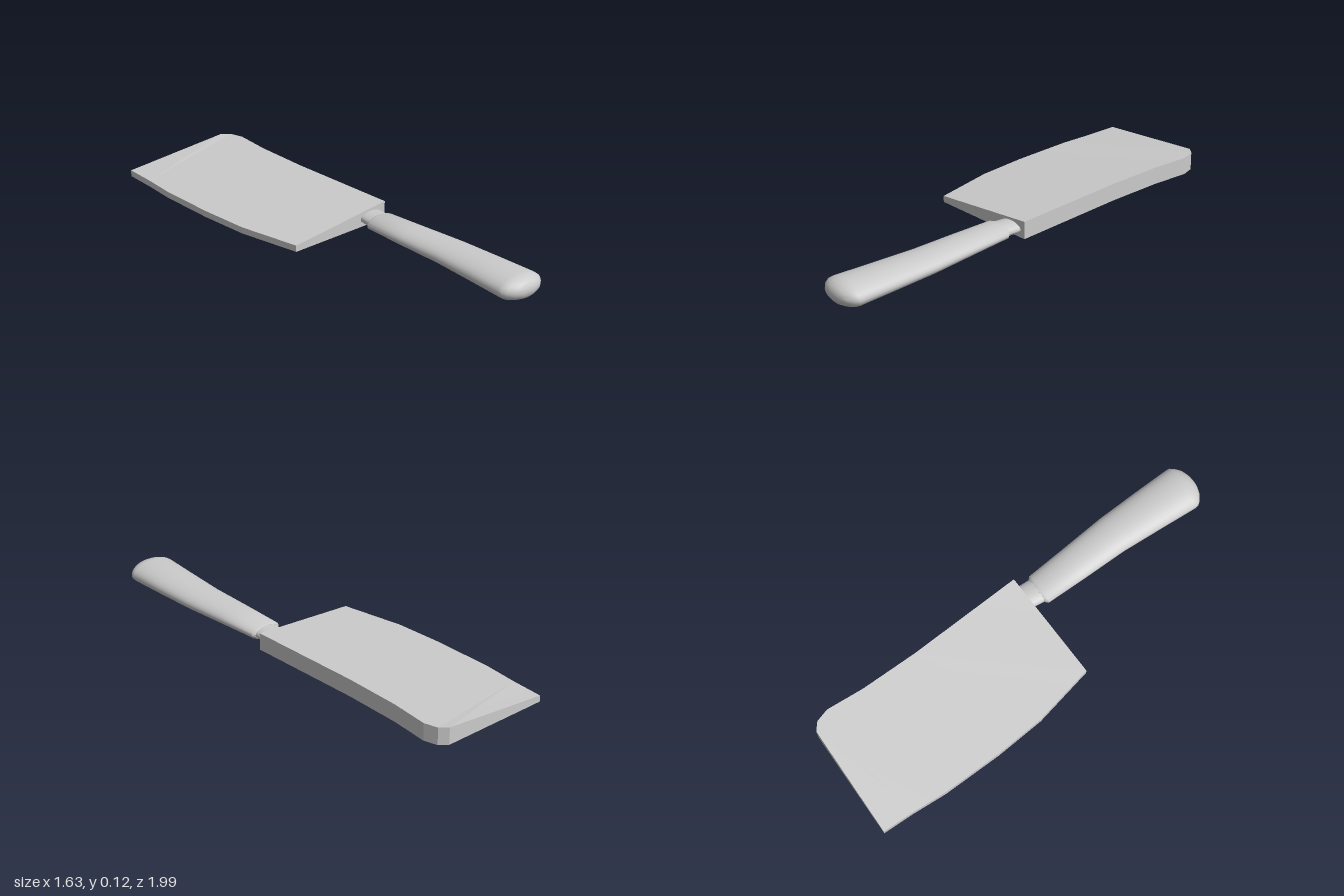
import * as THREE from 'three';
import { toCreasedNormals } from 'three/addons/utils/BufferGeometryUtils.js';

// Skin a list of rings (counter-clockwise about the travel direction), with end caps
function loft(rings, crease) {
  const n = rings[0].length, last = (rings.length - 1) * n;
  const index = [];
  for (let r = 0; r < rings.length - 1; r++) {
    for (let i = 0; i < n; i++) {
      const a = r * n + i, b = r * n + (i + 1) % n;
      index.push(a, b, b + n, a, b + n, a + n);
    }
  }
  for (let i = 1; i < n - 1; i++) {
    index.push(0, i + 1, i);
    index.push(last, last + i, last + i + 1);
  }
  const geo = new THREE.BufferGeometry();
  geo.setAttribute('position', new THREE.Float32BufferAttribute(rings.flat(2), 3));
  geo.setIndex(index);
  return toCreasedNormals(geo, crease);
}

// Oval ring across the handle axis: centre x, z, half width, half height
function oval([x, z, w, h]) {
  const ring = [], sides = 28, y = 0.063;
  for (let i = 0; i < sides; i++) {
    const a = (i / sides) * Math.PI * 2, s = w * Math.cos(a);
    ring.push([x + s * 0.89, y + h * Math.sin(a), z - s * 0.46]);
  }
  return ring;
}

export function createModel() {
  const group = new THREE.Group();
  const material = new THREE.MeshStandardMaterial({ color: 0xcccccc });
  const add = (name, geo) => {
    const mesh = new THREE.Mesh(geo, material);
    mesh.name = name;
    group.add(mesh);
  };

  // Blade: flat underside, thick spine, top sloping down to a thin cutting edge
  // Stations from heel to tip: spine x, z, edge x, z
  const stations = [
    [0.32, 0.02, -0.17, 0.30],
    [0.01, -0.50, -0.38, 0.05],
    [-0.13, -0.76, -0.52, -0.17],
    [-0.21, -0.94, -0.67, -0.44],
    [-0.26, -0.99, -0.74, -0.595],
    [-0.31, -1.0, -0.815, -0.745],
  ];
  add('blade', loft(stations.map(([sx, sz, ex, ez]) => [
    [ex, 0.025, ez], [ex, 0.057, ez], [sx, 0.114, sz], [sx, 0.025, sz],
  ]), 0.05));

  // Tang: short neck joining blade and handle
  add('tang', loft([
    [0.23, 0.04, 0.064, 0.029],
    [0.275, 0.145, 0.068, 0.031],
  ].map(oval), 0.6));

  // Handle: widening oval grip with a rounded butt
  add('handle', loft([
    [0.265, 0.125, 0.07, 0.032],
    [0.271, 0.136, 0.083, 0.037],
    [0.385, 0.33, 0.093, 0.043],
    [0.505, 0.53, 0.103, 0.048],
    [0.61, 0.73, 0.114, 0.053],
    [0.70, 0.905, 0.123, 0.058],
    [0.709, 0.922, 0.121, 0.056],
    [0.718, 0.94, 0.106, 0.05],
    [0.728, 0.958, 0.08, 0.039],
    [0.734, 0.97, 0.045, 0.022],
    [0.736, 0.973, 0.008, 0.004],
  ].map(oval), 0.7));

  return group;
}
